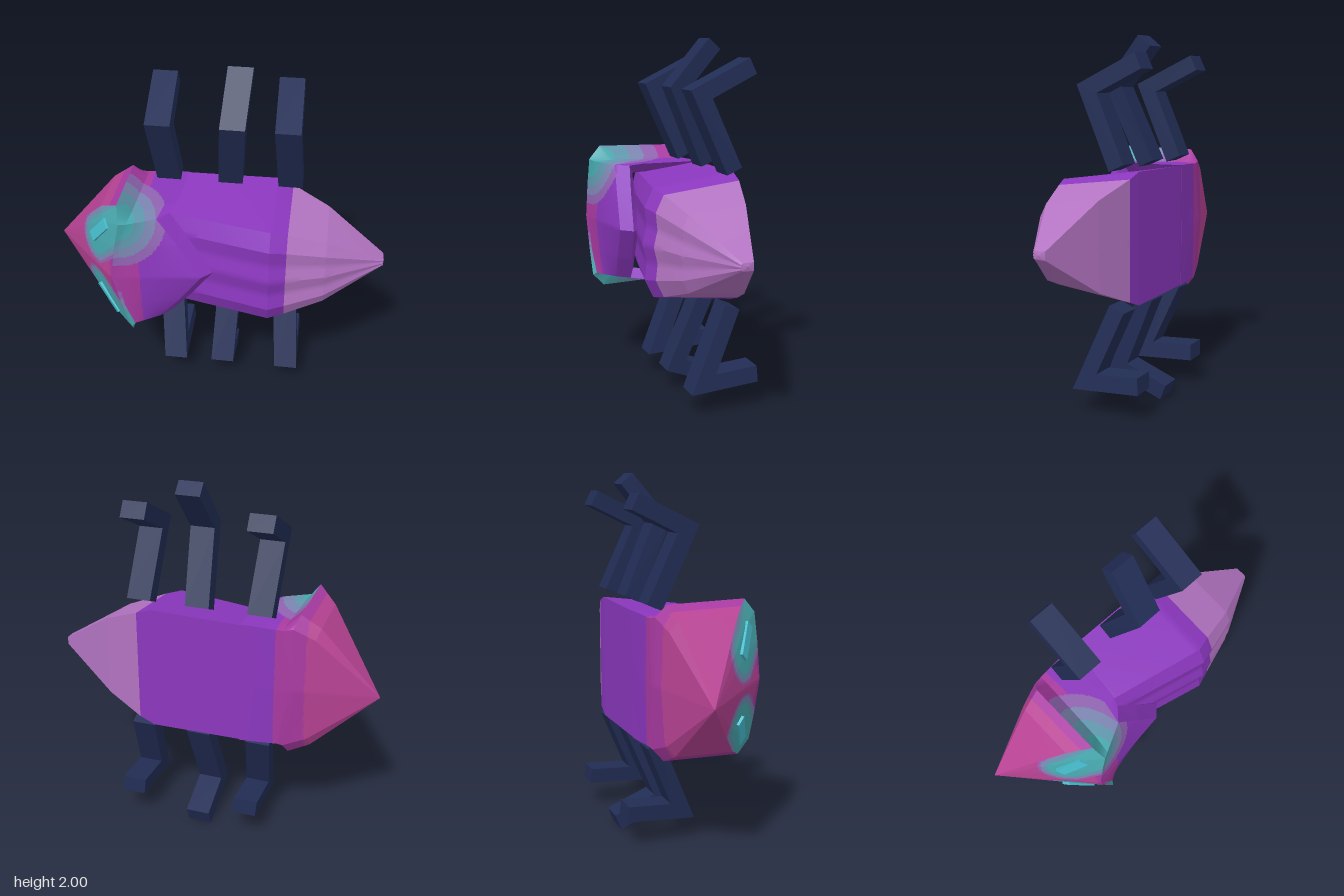
import * as THREE from 'three';
import { toCreasedNormals } from 'three/addons/utils/BufferGeometryUtils.js';

const C = 0.94; // height of the body's mirror plane

const mat = (name, color) => {
  const m = new THREE.MeshStandardMaterial({ color });
  m.name = name;
  return m;
};

// Skin through closed rings of [x, y, z]; each cell is subdivided, and
// pick(point, ring, column) gives its material
function loft(rings, cell, pick, materials) {
  const pos = [], tags = [];
  const n = rings[0].length;
  const at = (r, i, u, v) => {
    const a = rings[r][i], b = rings[r][(i + 1) % n], c = rings[r + 1][i], d = rings[r + 1][(i + 1) % n];
    return [0, 1, 2].map(k => (a[k] * (1 - v) + b[k] * v) * (1 - u) + (c[k] * (1 - v) + d[k] * v) * u);
  };
  for (let r = 0; r < rings.length - 1; r++) {
    const len = Math.max(...rings[r].map((p, i) => Math.abs(p[0] - rings[r + 1][i][0])));
    const U = Math.max(1, Math.ceil(len / cell));
    for (let i = 0; i < n; i++) {
      const p = rings[r][i], q = rings[r][(i + 1) % n], s = rings[r + 1][i], t = rings[r + 1][(i + 1) % n];
      const wide = Math.max(Math.hypot(p[1] - q[1], p[2] - q[2]), Math.hypot(s[1] - t[1], s[2] - t[2]));
      const V = Math.max(1, Math.ceil(wide / cell));
      for (let a = 0; a < U; a++) for (let b = 0; b < V; b++) {
        const p00 = at(r, i, a / U, b / V), p10 = at(r, i, (a + 1) / U, b / V);
        const p01 = at(r, i, a / U, (b + 1) / V), p11 = at(r, i, (a + 1) / U, (b + 1) / V);
        for (const tri of [[p00, p10, p11], [p00, p11, p01]]) {
          tri.forEach(v => pos.push(...v));
          const mid = new THREE.Vector3(...[0, 1, 2].map(k => (tri[0][k] + tri[1][k] + tri[2][k]) / 3));
          tags.push(pick(mid, r, i));
        }
      }
    }
  }
  let geo = new THREE.BufferGeometry();
  geo.setAttribute('position', new THREE.Float32BufferAttribute(pos, 3));
  // enlarged while merging normals, so that small cells stay distinct
  geo.scale(100, 100, 100);
  geo = toCreasedNormals(geo, 0.45);
  geo.scale(0.01, 0.01, 0.01);
  for (let start = 0, i = 1; i <= tags.length; i++) {
    if (i === tags.length || tags[i] !== tags[start]) {
      geo.addGroup(start * 3, (i - start) * 3, tags[start]);
      start = i;
    }
  }
  return new THREE.Mesh(geo, materials);
}

// Half section (back centre to front centre) mirrored into a ring; lower half may be shifted in x
function mirrorRing(half, shift = 0) {
  const low = half.map(([x, d, z]) => [x + shift * d / 0.42, C - d, z]);
  const up = half.slice(1, -1).reverse().map(([x, d, z]) => [x, C + d, z]);
  return [...low, ...up];
}

// Bent bar: mitred outline of a [z, y] path, extruded across x and leaned
function legGeometry(path, x0, x1, width, thick) {
  const pts = path.map(([z, y]) => new THREE.Vector2(-z, y));
  const dirs = [0, 1].map(i => pts[i + 1].clone().sub(pts[i]).normalize());
  const norm = d => new THREE.Vector2(-d.y, d.x);
  const n0 = norm(dirs[0]), n1 = norm(dirs[1]);
  const mid = n0.clone().add(n1).normalize();
  mid.divideScalar(mid.dot(n0));
  const offs = [n0, mid, n1].map(o => o.multiplyScalar(thick / 2));
  const left = pts.map((p, i) => p.clone().add(offs[i]));
  const right = pts.map((p, i) => p.clone().sub(offs[i])).reverse();
  const geo = new THREE.ExtrudeGeometry(new THREE.Shape([...left, ...right]), { depth: width, bevelEnabled: false });
  geo.translate(0, 0, -width / 2);
  geo.rotateY(Math.PI / 2);
  const p = geo.attributes.position, hip = path[0][1];
  const reach = Math.max(...path.map(q => Math.abs(q[1] - hip)));
  for (let i = 0; i < p.count; i++) {
    p.setX(i, p.getX(i) + x0 + (x1 - x0) * Math.abs(p.getY(i) - hip) / reach);
  }
  geo.computeVertexNormals();
  return geo;
}

export function createModel() {
  const model = new THREE.Group();
  const purple = mat('body purple', 0x8b37be);
  const tail = mat('tail lilac', 0xb374c2);
  const plum = mat('neck plum', 0xa93aa2);
  const pink = mat('nose magenta', 0xb84394);
  const teal = mat('eye patch teal', 0x48aab0);
  const steel = mat('patch steel blue', 0x6098ae);
  const slate = mat('patch slate', 0x7c86b2);
  const mauve = mat('patch rim mauve', 0x9164b2);
  const navy = mat('leg navy', 0x222d55);
  const cyan = mat('eye cyan', 0x48bfd0);

  // head and shield
  const crest = mirrorRing([[-0.5, 0, -0.245], [-0.48, 0.35, -0.235], [-0.505, 0.415, -0.18], [-0.505, 0.425, 0.25],
    [-0.485, 0.35, 0.32], [-0.515, 0.2, 0.325], [-0.54, 0, 0.33]], 0.045);
  const neck = mirrorRing([[-0.47, 0, -0.25], [-0.43, 0.34, -0.245], [-0.43, 0.345, -0.18], [-0.44, 0.345, 0.2],
    [-0.45, 0.34, 0.3], [-0.49, 0.2, 0.315], [-0.51, 0, 0.325]], 0.02);
  const lip = mirrorRing([[-0.25, 0, -0.258], [-0.25, 0.348, -0.257], [-0.25, 0.347, -0.15], [-0.28, 0.345, 0.1],
    [-0.3, 0.335, 0.22], [-0.19, 0.19, 0.245], [-0.06, 0, 0.27]]);
  const rear = mirrorRing([[-0.2, 0, -0.26], [-0.2, 0.348, -0.26], [-0.2, 0.347, -0.15], [-0.22, 0.345, 0.08],
    [-0.24, 0.335, 0.15], [-0.13, 0.19, 0.18], [0, 0, 0.21]]);
  const tuck = rear.map(([x, y, z]) => [x - 0.04, C + (y - C) * 0.85, z * 0.8]);
  const nose = [-0.935, 0.91, -0.11];
  const toNose = (t, bulge) => crest.map(p => {
    const q = p.map((v, k) => nose[k] + (v - nose[k]) * t);
    q[1] = 0.925 + (q[1] - 0.925) * bulge;
    return q;
  });

  // banded patches: around the eyes on the face, and spreading back from the crest corners
  const eyeLines = [
    new THREE.Line3(new THREE.Vector3(-0.65, 1.1, 0.18), new THREE.Vector3(-0.48, 1.27, 0.28)),
    new THREE.Line3(new THREE.Vector3(-0.64, 0.75, 0.18), new THREE.Vector3(-0.48, 0.6, 0.28)),
  ];
  const corners = [new THREE.Vector3(-0.5, 1.27, 0.28), new THREE.Vector3(-0.47, 0.59, 0.28)];
  const near = new THREE.Vector3();
  const band = (d, limits) => limits.findIndex(l => d < l);
  const headColor = (p, ring, column) => {
    const low = p.y < C ? 1 : 0;
    let k = -1;
    if (ring < 2 && column >= 3 && column <= 8) {
      const d = eyeLines[low].closestPointToPoint(p, true, near).distanceTo(p);
      k = band(d, [0.095, 0.115, 0.135, 0.15]);
    } else if (ring === 2 || (ring === 3 && !low)) {
      const c = corners[low];
      k = band(Math.hypot(p.x - c.x, p.y - c.y, (p.z - c.z) * 0.65), [0.09, 0.145, 0.2, 0.255]);
    }
    if (k >= 0) return k;
    return p.x < -0.55 ? 4 : p.x < -0.39 ? 5 : 6;
  };
  const head = loft([toNose(0.005, 1), toNose(0.75, 1.13), crest, neck, lip, rear, tuck], 0.014, headColor,
    [teal, steel, slate, mauve, pink, plum, purple]);
  head.name = 'headAndShield';
  model.add(head);

  // abdomen with lengthwise ridges, narrowing to the tail
  const section = (x, back, front, zBack, zEdge, zFront) => mirrorRing([[x, 0, zBack], [x, back, zBack], [x, front, zEdge],
    ...[[0.66, 0.8], [0.33, 0.62], [0, 1]].map(([f, g]) => [x, front * f, zEdge + (zFront - zEdge) * g])]);
  const abdomen = loft([
    section(-0.42, 0.32, 0.28, -0.22, 0.05, 0.08),
    section(-0.2, 0.345, 0.29, -0.258, 0.1, 0.145),
    section(0.31, 0.355, 0.295, -0.25, 0.21, 0.27),
    section(0.4, 0.322, 0.272, -0.242, 0.185, 0.24),
    section(0.61, 0.235, 0.2, -0.18, 0.13, 0.175),
    section(0.93, 0.022, 0.02, -0.07, -0.01, 0),
    section(0.935, 0.001, 0.001, -0.036, -0.035, -0.034),
  ], 0.03, p => (p.x < 0.4 ? 0 : 1), [purple, tail]);
  abdomen.name = 'abdomenAndTail';
  model.add(abdomen);

  // eye plates lying on the slanted face
  for (const [name, s, x, y, z] of [['leftEye', 1, -0.615, 1.165, 0.2], ['rightEye', -1, -0.595, 0.692, 0.19]]) {
    const n = new THREE.Vector3(-0.106, s > 0 ? 0.024 : -0.04, 0.095).normalize();
    const long = new THREE.Vector3(0.12, 0.17 * s, 0.093);
    long.addScaledVector(n, -long.dot(n)).normalize();
    const eye = new THREE.Mesh(new THREE.BoxGeometry(0.2, 0.06, 0.035), cyan);
    eye.applyMatrix4(new THREE.Matrix4().makeBasis(long, n.clone().cross(long), n));
    eye.position.set(x, y, z);
    eye.name = name;
    model.add(eye);
  }

  // legs: hip, knee and foot as [z, y], then x at the hip and at the far end
  const upBent = [[-0.19, 1.32], [-0.01, 1.72], [-0.3, 1.86]];
  const upRaised = [[-0.19, 1.32], [-0.005, 1.735], [-0.2, 1.97]];
  const downBent = [[-0.19, 0.585], [-0.015, 0.18], [-0.33, 0.2]];
  const downRaised = [[-0.19, 0.585], [-0.01, 0.155], [-0.29, 0.043]];
  const legs = [
    ['leftFrontLeg', upBent, -0.295, -0.318], ['leftMiddleLeg', upRaised, 0.05, 0.095], ['leftBackLeg', upBent, 0.388, 0.362],
    ['rightFrontLeg', downBent, -0.3, -0.258], ['rightMiddleLeg', downRaised, 0.053, 0.03], ['rightBackLeg', downBent, 0.383, 0.418],
  ];
  for (const [name, path, x0, x1] of legs) {
    const leg = new THREE.Mesh(legGeometry(path, x0, x1, 0.135, 0.09), navy);
    leg.name = name;
    model.add(leg);
  }
  return model;
}
